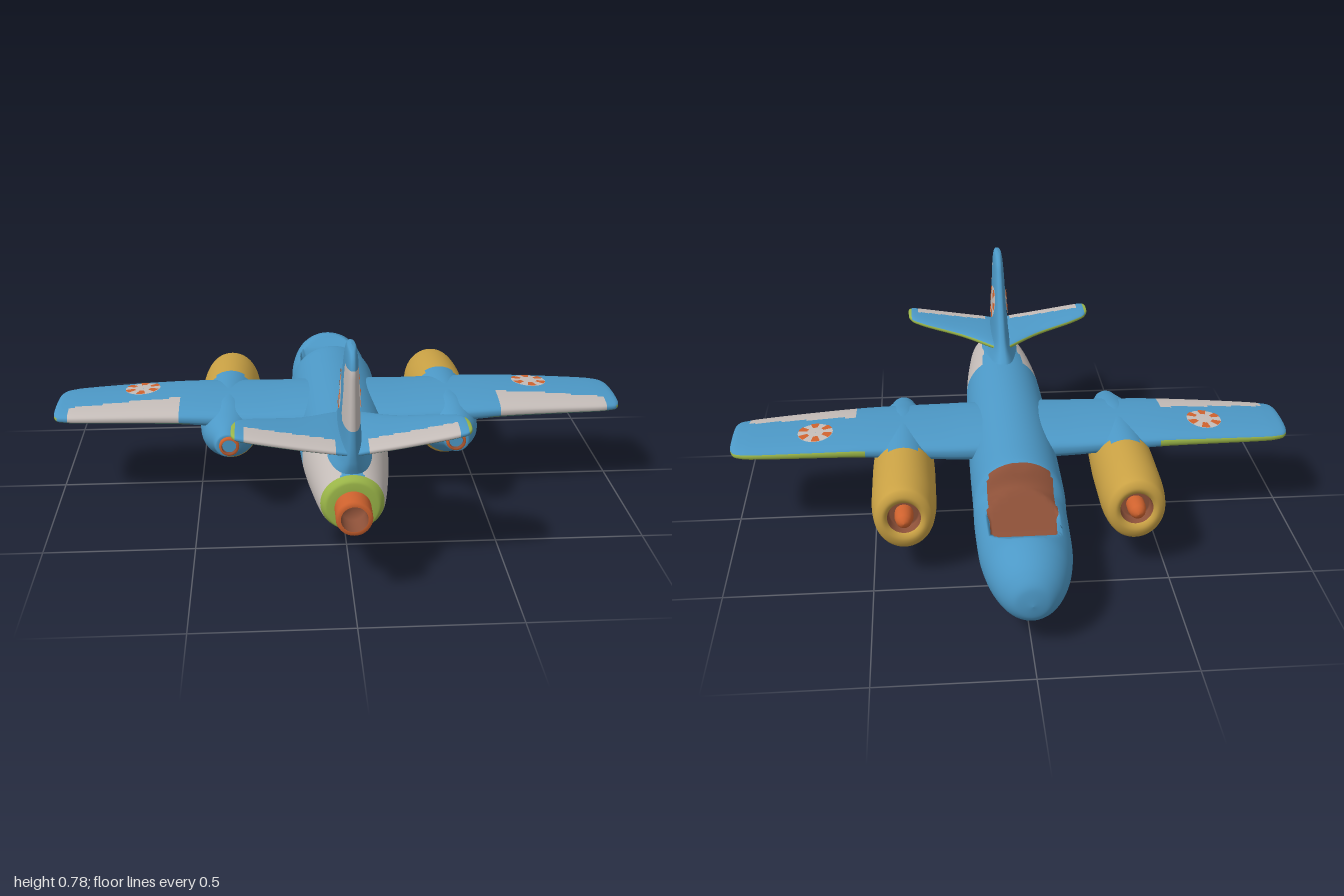
import * as THREE from 'three';

const paint = (name, color, side = THREE.FrontSide) =>
  Object.assign(new THREE.MeshStandardMaterial({ color, side }), { name });

// Smooth monotone interpolation of a table of rows, t counted in rows
function sample(rows, t) {
  const i = Math.min(Math.floor(t), rows.length - 2), f = t - i;
  const slope = (k, c) => {
    if (k <= 0 || k >= rows.length - 1) {
      return k <= 0 ? rows[1][c] - rows[0][c] : rows[k][c] - rows[k - 1][c];
    }
    const a = rows[k][c] - rows[k - 1][c], b = rows[k + 1][c] - rows[k][c];
    return a * b <= 0 ? 0 : (2 * a * b) / (a + b);
  };
  return rows[0].map((_, c) => {
    const p = rows[i][c], q = rows[i + 1][c], f2 = f * f, f3 = f2 * f;
    return p * (2 * f3 - 3 * f2 + 1) + slope(i, c) * (f3 - 2 * f2 + f)
      + q * (3 * f2 - 2 * f3) + slope(i + 1, c) * (f3 - f2);
  });
}

// Closed skin over a table of sections; pick() chooses the material of each cell
function skin(name, rows, steps, around, point, pick, mats) {
  const nu = (rows.length - 1) * steps, pos = [], lists = mats.map(() => []);
  for (let i = 0; i <= nu; i++) {
    const row = sample(rows, i / steps);
    for (let j = 0; j < around; j++) pos.push(...point(row, (j / around) * Math.PI * 2));
  }
  const P = (i) => new THREE.Vector3().fromArray(pos, i * 3);
  let volume = 0;
  for (let i = 0; i < nu; i++) for (let j = 0; j < around; j++) {
    const a = i * around + j, b = i * around + (j + 1) % around, c = a + around, d = b + around;
    const mid = P(a).add(P(b)).add(P(c)).add(P(d)).multiplyScalar(0.25);
    const m = pick(mid, ((j + 0.5) / around) * Math.PI * 2, (i + 0.5) / steps);
    lists[m].push(a, b, c, b, d, c);
    volume += P(a).dot(P(b).cross(P(c))) + P(b).dot(P(d).cross(P(c)));
  }
  const g = new THREE.BufferGeometry(), index = [];
  lists.forEach((l, m) => {
    if (volume < 0) for (let k = 0; k < l.length; k += 3) [l[k], l[k + 1]] = [l[k + 1], l[k]];
    g.addGroup(index.length, l.length, m);
    for (const k of l) index.push(k);
  });
  g.setAttribute('position', new THREE.Float32BufferAttribute(pos, 3));
  g.setIndex(index);
  g.computeVertexNormals();
  const mesh = new THREE.Mesh(g, mats);
  mesh.name = name;
  return mesh;
}

const bulge = (a) => Math.sign(Math.sin(a)) * Math.abs(Math.sin(a)) ** 0.75;

// Flying surface: rows are [span, leading z, trailing z, offset, half thickness]
function panel(name, rows, place, pick, mats) {
  return skin(name, rows, 10, 72, ([s, lead, trail, off, half], a) =>
    place(s, (lead + trail) / 2 + (trail - lead) / 2 * Math.cos(a), off + half * bulge(a)), pick, mats);
}

// Height of a flying surface above its span at a given span and z
function heightAt(rows, s, z, side) {
  let lo = 0, hi = rows.length - 1;
  for (let k = 0; k < 30; k++) {
    const m = (lo + hi) / 2;
    if (sample(rows, m)[0] < s) lo = m; else hi = m;
  }
  const [, lead, trail, off, half] = sample(rows, lo);
  const c = (2 * z - lead - trail) / (trail - lead);
  return off + side * half * Math.max(0, 1 - c * c) ** 0.375;
}

function createModel() {
  const model = new THREE.Group();
  const D = THREE.DoubleSide;
  const blue = paint('sky blue', 0x4c98c6), yellow = paint('engine yellow', 0xc9a144);
  const white = paint('off white', 0xc4bcb8, D), lime = paint('lime', 0x9ab548);
  const under = paint('underside green', 0x5f8c7e), orange = paint('orange', 0xcf622e, D);
  const brown = paint('cockpit brown', 0x8c5038, D);
  const add = (name, geometry, material) => {
    const mesh = new THREE.Mesh(geometry, material);
    mesh.name = name;
    model.add(mesh);
    return mesh;
  };
  const lathe = (pts) => new THREE.LatheGeometry(pts.map((p) => new THREE.Vector2(...p)), 32);

  // Fuselage: z, top, bottom, half width
  const body = [[-.87, .17, .17, 0], [-.862, .225, .125, .05], [-.83, .27, .092, .09],
    [-.77, .305, .075, .122], [-.7, .32, .065, .14], [-.6, .316, .064, .152], [-.42, .326, .068, .157],
    [-.35, .395, .072, .157], [-.2, .405, .077, .157], [0, .415, .085, .155], [.2, .424, .1, .15],
    [.42, .43, .132, .142], [.6, .418, .165, .125], [.765, .385, .2, .098], [.785, .365, .21, .078],
    [.787, .335, .235, .05], [.78, .285, .285, 0]];
  // Cockpit cavity: z, floor height, half width
  const pit = [[-.72, .33, .05], [-.69, .305, .08], [-.64, .28, .1], [-.61, .225, .108],
    [-.555, .215, .112], [-.4, .345, .112], [-.35, .4, .1]];
  const pitAt = (z) => {
    const i = pit.findIndex((p, k) => k > 0 && z <= p[0]);
    if (i < 1 || z < pit[0][0]) return null;
    const f = (z - pit[i - 1][0]) / (pit[i][0] - pit[i - 1][0]);
    return pit[i].map((v, c) => pit[i - 1][c] + (v - pit[i - 1][c]) * f);
  };
  model.add(skin('fuselage', body, 10, 96, ([z, top, bottom, w], a) => {
    const x = w * Math.cos(a), p = pitAt(z);
    let y = (top + bottom) / 2 + (top - bottom) / 2 * Math.sin(a);
    if (p && Math.sin(a) > 0 && Math.abs(x) < p[2]) y = Math.min(y, p[1]);
    return [x, y, z];
  }, (p, a, t) => {
    const x = Math.abs(p.x), c = pitAt(p.z);
    if (t > 13) return 2;
    if (t > 11 && p.y < .405 && !(x < .035 && p.y > .3)) return 1;
    if (c && p.z > -.555 && p.z < -.36 && p.y > .15 && x < c[2] + .002 && p.y < c[1] + .012) return 3;
    if (x > .1 && Math.abs(p.z) < .07 && p.y > .14 && p.y < .2) return 4;
    return 0;
  }, [blue, white, lime, brown, yellow]));

  // Belly pod under the nose
  add('bellyPod', lathe([[0, 0], [.03, .002], [.043, .01], [.051, .028], [.052, .05], [.043, .085]])
    .scale(1, 1, 1.6), blue).position.z = -.625;

  // Exhaust pipes
  const exhaust = (name, x, y, z0, z1, r) => {
    const pipe = lathe([[r, z0], [r, z1 - .008], [r * .95, z1], [r * .74, z1]]).rotateX(Math.PI / 2);
    const bore = lathe([[r * .74, z1], [r * .66, z0 + .03], [0, z0 + .03]]).rotateX(Math.PI / 2);
    add(name, pipe, orange).position.set(x, y, 0);
    add(name + 'Bore', bore, brown).position.set(x, y, 0);
  };
  exhaust('tailExhaust', 0, .285, .765, .862, .056);

  // Round badge laid onto a flying surface
  const badge = (name, rows, place, s0, z0, side) => {
    const lay = (part, inner, start, length, lift, mat) => {
      const g = new THREE.RingGeometry(inner, .062, length > 3 ? 40 : 5, 5, start, length);
      const p = g.attributes.position;
      for (let i = 0; i < p.count; i++) {
        const s = s0 + p.getX(i), z = z0 + p.getY(i);
        p.setXYZ(i, ...place(s, z, heightAt(rows, s, z, side) + side * lift));
      }
      g.computeVertexNormals();
      add(part, g, mat);
    };
    lay(name + 'Disc', .001, 0, Math.PI * 2, .003, white);
    for (let k = 0; k < 6; k++) lay(name + 'Wedge', .03, k * Math.PI / 3 + .2, Math.PI / 6, .005, orange);
  };

  const wing = [[0, -.15, .23, .315, .062], [.2, -.15, .225, .317, .054], [.56, -.145, .195, .33, .038],
    [.94, -.122, .155, .321, .027], [.985, -.1, .14, .32, .022], [1, -.05, .1, .32, .012], [1, .02, .03, .32, 0]];
  const stab = [[0, .44, .772, .453, .018], [.05, .475, .775, .462, .02], [.15, .545, .774, .477, .019],
    [.3, .605, .77, .502, .017], [.345, .635, .765, .51, .014], [.362, .68, .74, .513, .007], [.362, .7, .71, .513, 0]];
  const nacelle = [[-.4, .24, .24, 0], [-.4, .29, .19, .05], [-.435, .298, .182, .056], [-.445, .318, .16, .072],
    [-.43, .346, .125, .096], [-.32, .36, .104, .11], [-.15, .368, .1, .11], [0, .37, .105, .105],
    [.1, .37, .145, .1], [.2, .355, .195, .085], [.27, .338, .23, .055], [.315, .322, .248, .037], [.315, .285, .285, 0]];
  const edgePaint = (start, a) => {
    if (a > Math.PI - .15 && a < Math.PI + .45) return 2;
    return a > Math.PI + .45 && a < Math.PI * 2 - .2 ? 3 : start;
  };
  const mats = [blue, white, lime, under];

  for (const s of [1, -1]) {
    const side = s > 0 ? 'left' : 'right';
    const flat = (span, z, y) => [s * span, y, z];
    // Wing with aileron and coloured edges
    model.add(panel(side + 'Wing', wing, flat, (p, a) => {
      const x = Math.abs(p.x);
      if (x < .54) return 0;
      if (x > .985) return p.y < .325 ? 2 : 0;
      return edgePaint(x > .56 && x < .95 && p.z > .07 + (x - .56) * .06 ? 1 : 0, a);
    }, mats));
    badge(side + 'WingBadge', wing, flat, .7, -.03, 1);
    // Tailplane with elevator
    model.add(panel(side + 'Tailplane', stab, flat, (p, a) => {
      const x = Math.abs(p.x);
      if (x > .35) return 2;
      return edgePaint(x > .05 && x < .325 && p.z > .712 - (x - .05) * .04 ? 1 : 0, a);
    }, mats));
    // Engine nacelle, spinner and exhaust
    model.add(skin(side + 'Nacelle', nacelle, 6, 64, ([z, top, bottom, w], a) =>
      [s * (.39 + w * Math.cos(a)), (top + bottom) / 2 + (top - bottom) / 2 * Math.sin(a), z],
    (p, a, t) => {
      if (t < 2) return 2;
      const line = p.z < -.08 ? .36 - .9 * (p.z + .17) : .28 - .45 * (p.z + .08);
      return p.z < -.17 || (p.z < .12 && p.y < line) ? 1 : 0;
    }, [blue, yellow, brown]));
    add(side + 'Spinner', lathe([[0, -.476], [.014, -.472], [.025, -.458], [.031, -.435], [.031, -.39]])
      .rotateX(Math.PI / 2), orange).position.set(s * .39, .24, 0);
    exhaust(side + 'Exhaust', s * .385, .285, .28, .325, .034);
  }

  // Tail fin with rudder
  const fin = [[.39, .32, .77, 0, .075], [.43, .36, .78, 0, .05], [.48, .415, .784, 0, .035], [.6, .5, .785, 0, .027],
    [.7, .562, .784, 0, .022], [.75, .6, .77, 0, .018], [.775, .645, .74, 0, .012], [.78, .68, .7, 0, 0]];
  const upright = (y, z, x) => [x, y, z];
  model.add(panel('tailFin', fin, upright, (p) =>
    (p.y > .53 && p.y < .725 && p.z > .685 + (p.y - .53) * .1 ? 1 : 0), [blue, white]));
  for (const s of [1, -1]) badge(s > 0 ? 'leftFinBadge' : 'rightFinBadge', fin, upright, .6, .597, s);

  return model;
}

export { createModel };
